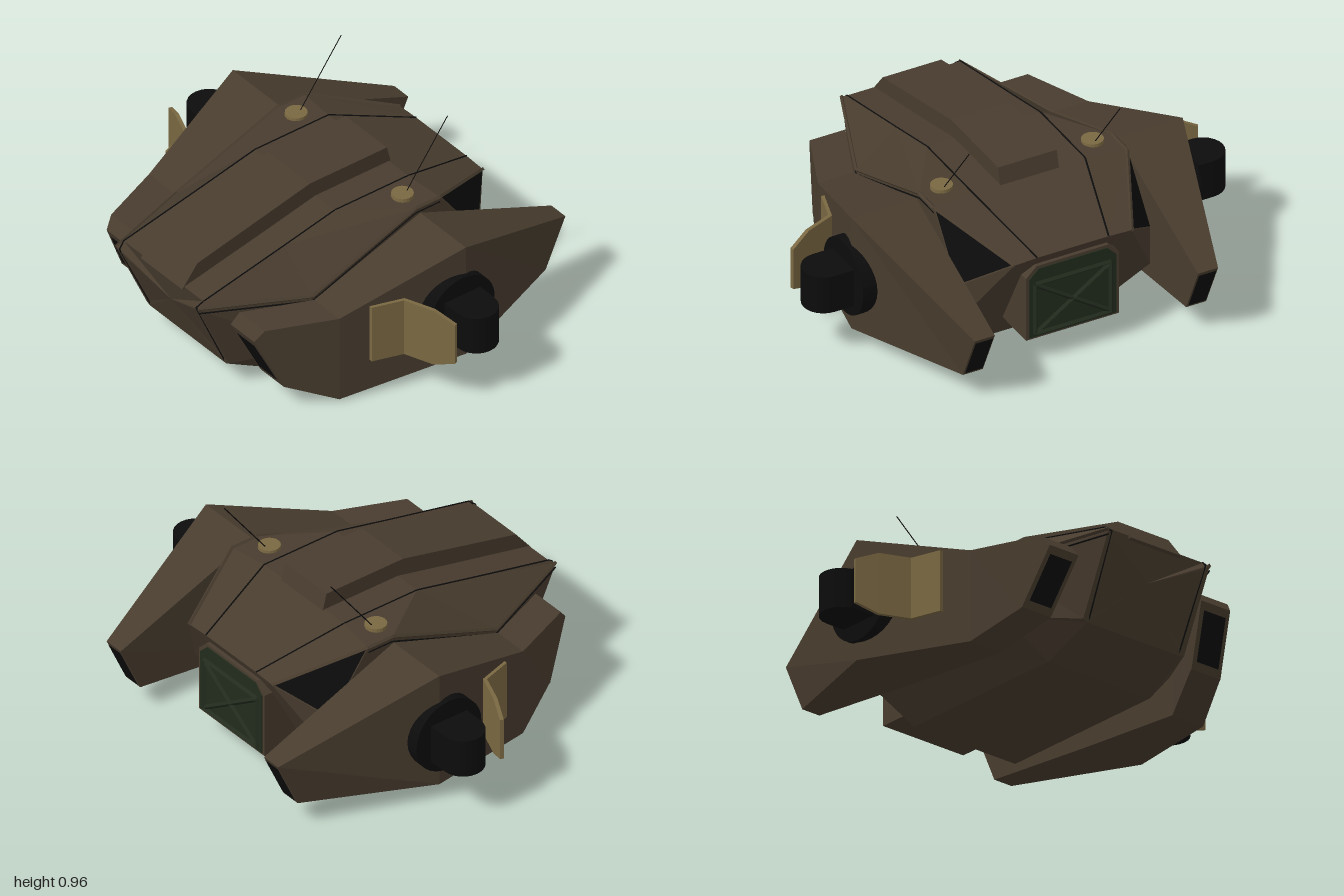
import * as THREE from 'three';
import { mergeGeometries } from 'three/addons/utils/BufferGeometryUtils.js';

const mat = (color) => new THREE.MeshStandardMaterial({ color, flatShading: true, side: THREE.DoubleSide });
const brown = mat(0x483c2e), tan = mat(0x7a6842), black = mat(0x0c0c0c), green = mat(0x222b1d);
const V = (p) => new THREE.Vector3(...p);

// Flat shaded skin over closed rings that run counter-clockwise seen from +x
function loft(rings) {
  const out = [];
  const n = rings[0].length;
  const tri = (a, b, c) => {
    const area = V(b).sub(V(a)).cross(V(c).sub(V(a))).length();
    if (area > 1e-7) out.push(...a, ...b, ...c);
  };
  for (let r = 0; r + 1 < rings.length; r++) {
    for (let i = 0; i < n; i++) {
      const a = rings[r], b = rings[r + 1], j = (i + 1) % n;
      tri(a[i], a[j], b[j]);
      tri(a[i], b[j], b[i]);
    }
  }
  const cap = (ring, flip) => {
    const c = [0, 1, 2].map((k) => ring.reduce((s, p) => s + p[k], 0) / n);
    ring.forEach((p, i) => {
      const q = ring[(i + 1) % n];
      if (flip) tri(c, q, p); else tri(c, p, q);
    });
  };
  cap(rings[0], true);
  cap(rings[rings.length - 1], false);
  const g = new THREE.BufferGeometry();
  g.setAttribute('position', new THREE.Float32BufferAttribute(out, 3));
  g.computeVertexNormals();
  return g;
}

// Reflect rings across z = 0, keeping the winding
const mirrorRings = (rings, s) => (s > 0 ? rings
  : rings.map((r) => r.map(([x, y, z]) => [x, y, -z]).reverse()));

// Thin panel shrunk inside a face and lifted off it
function panel(points, shrink, lift) {
  const p = points.map(V);
  const c = p.reduce((s, q) => s.add(q), new THREE.Vector3()).divideScalar(p.length);
  const n = p[1].clone().sub(p[0]).cross(p[2].clone().sub(p[0])).normalize().multiplyScalar(lift);
  const q = p.map((v) => v.lerp(c, shrink).add(n));
  const list = [];
  for (let i = 1; i + 1 < q.length; i++) list.push(q[0], q[i], q[i + 1]);
  const g = new THREE.BufferGeometry().setFromPoints(list);
  g.computeVertexNormals();
  return g;
}

// Chain of straight thin rods
function rods(points, radius) {
  const parts = [];
  for (let i = 0; i + 1 < points.length; i++) {
    parts.push(new THREE.TubeGeometry(new THREE.LineCurve3(V(points[i]), V(points[i + 1])), 1, radius, 4));
  }
  return mergeGeometries(parts);
}

function extrude(points, depth) {
  const shape = new THREE.Shape(points.map(([x, y]) => new THREE.Vector2(x, y)));
  return new THREE.ExtrudeGeometry(shape, { depth, bevelEnabled: false });
}

export function createModel() {
  const model = new THREE.Group();
  const add = (name, geometry, material, x = 0, y = 0, z = 0) => {
    const m = new THREE.Mesh(geometry, material);
    m.name = name;
    m.position.set(x, y, z);
    model.add(m);
    return m;
  };

  // Hull half-sections: roof, roof edge, waist, low side, bottom
  const half = [
    [[-0.83, 0.5, 0.27], [-0.86, 0.48, 0.28], [-0.86, 0.47, 0.28], [-0.7, 0.12, 0.28], [-0.7, 0.11, 0.26]],
    [[-0.4, 0.594, 0.27], [-0.4, 0.44, 0.46], [-0.4, 0.4, 0.46], [-0.4, 0.18, 0.46], [-0.48, 0, 0.28]],
    [[-0.13, 0.655, 0.27], [0.15, 0.645, 0.46], [0.15, 0.4, 0.46], [0.15, 0.19, 0.46], [0.15, 0, 0.28]],
    [[0.26, 0.655, 0.27], [0.28, 0.645, 0.46], [0.48, 0.37, 0.46], [0.48, 0.19, 0.46], [0.38, 0, 0.28]],
    [[0.65, 0.52, 0.17], [0.65, 0.515, 0.28], [0.65, 0.515, 0.28], [0.48, 0.19, 0.46], [0.38, 0, 0.28]],
  ];
  const hull = half.map((h) => [...h, ...h.map(([x, y, z]) => [x, y, -z]).reverse()]);
  add('hull', loft(hull), brown);

  // Raised spine on the roof
  const spine = [[-0.84, 0.49], [-0.76, 0.59], [-0.16, 0.73], [0.25, 0.73], [0.27, 0.65], [-0.13, 0.64], [-0.82, 0.48]];
  add('roofSpine', extrude(spine, 0.28), brown, 0, 0, -0.14);

  // Front hatch: chamfered box with rim, frame and cross brace
  const hatch = (w, lo, hi, c) => [[-w, lo], [w, lo], [w, hi - c], [w - c, hi], [-w + c, hi], [-w, hi - c]];
  add('hatchRim', extrude(hatch(0.222, 0.115, 0.475, 0.05), 0.22), brown, 0.425).rotation.y = Math.PI / 2;
  add('hatchBox', extrude(hatch(0.208, 0.125, 0.462, 0.045), 0.235), green, 0.415).rotation.y = Math.PI / 2;
  const fx = 0.65;
  add('hatchFrame', rods([[fx, 0.14, -0.18], [fx, 0.14, 0.18], [fx, 0.39, 0.18], [fx, 0.39, -0.18], [fx, 0.14, -0.18]], 0.011), green);
  for (const s of [1, -1]) {
    add('hatchBrace', rods([[fx, 0.15, -0.17 * s], [fx, 0.38, 0.17 * s]], 0.011), green);
  }

  // Side pod sections: inner top, outer top, outer bottom, inner bottom
  const pod = [
    [[-0.74, 0.38, 0.34], [-0.74, 0.38, 0.5], [-0.62, 0.12, 0.55], [-0.62, 0.12, 0.39]],
    [[-0.7, 0.43, 0.35], [-0.7, 0.43, 0.52], [-0.61, 0.115, 0.553], [-0.61, 0.115, 0.392]],
    [[-0.4, 0.43, 0.475], [-0.4, 0.43, 0.645], [-0.4, 0.01, 0.645], [-0.4, 0.01, 0.475]],
    [[0.16, 0.63, 0.48], [0.16, 0.63, 0.79], [0.16, 0.075, 0.79], [0.16, 0.06, 0.48]],
    [[0.855, 0.35, 0.485], [0.855, 0.35, 0.58], [0.75, 0.12, 0.58], [0.75, 0.12, 0.485]],
  ];

  // Bent shield plate: x, z, bottom, top, outward offset
  const shield = [
    [-0.27, 0.685, 0.18, 0.46, 0, 0.015],
    [-0.12, 0.73, 0.18, 0.46, -0.012, 0.012],
    [-0.065, 0.87, 0.18, 0.46, -0.016, 0.006],
    [-0.025, 0.965, 0.22, 0.42, -0.016, 0.006],
  ].map(([x, z, lo, hi, dx, dz]) => [[x, hi, z], [x + dx, hi, z + dz], [x + dx, lo, z + dz], [x, lo, z]]);

  for (const s of [1, -1]) {
    const side = s > 0 ? 'left' : 'right';
    const flip = (pts) => pts.map(([x, y, z]) => [x, y, z * s]);
    const face = (pts) => (s > 0 ? pts : flip(pts).reverse());

    add(side + 'Pod', loft(mirrorRings(pod, s)), brown);
    add(side + 'PodFrontVent', panel(face(pod[4]), 0.12, 0.003), black);
    add(side + 'PodRearVent', panel(face([...pod[0]].reverse()), 0.25, 0.003), black);
    add(side + 'ShieldPlate', loft(mirrorRings(shield, s)), tan);

    // Corner window beside the hatch
    const window = [half[3][1], half[3][2], half[4][1]];
    add(side + 'Window', panel(face(window), 0.05, 0.003), black);

    // Round hub and the upright rounded arm mount
    add(side + 'Hub', new THREE.CylinderGeometry(0.173, 0.173, 0.13, 32), black, 0.125, 0.325, 0.745 * s).rotation.x = Math.PI / 2;
    add(side + 'ArmBlock', new THREE.BoxGeometry(0.19, 0.18, 0.2), black, 0.125, 0.32, 0.805 * s);
    add(side + 'ArmEnd', new THREE.CylinderGeometry(0.095, 0.095, 0.18, 24), black, 0.125, 0.32, 0.905 * s);

    // Antenna on its base
    add(side + 'AntennaBase', new THREE.CylinderGeometry(0.048, 0.05, 0.02, 20), tan, 0.16, 0.655, 0.36 * s);
    add(side + 'Antenna', rods([[0.18, 0.66, 0.36 * s], [0.4, 0.955, 0.36 * s]], 0.0025), black);

    // Panel seams on the roof, the tail and under the roof edge
    const roofSeam = [[-0.7, 0.12, 0.25], [-0.86, 0.475, 0.26], ...half.map((h) => h[0])];
    add(side + 'RoofSeam', rods(flip(roofSeam), 0.004), black);
    const edgeSeam = half.slice(0, 4).map((h) => [h[1][0], h[1][1] - 0.025, h[1][2]]);
    add(side + 'EdgeSeam', rods(flip(edgeSeam), 0.004), black);
    // Raised lip along the roof edge
    add(side + 'RoofLip', rods(flip(half.map((h) => h[1])), 0.009), brown);
  }
  return model;
}
